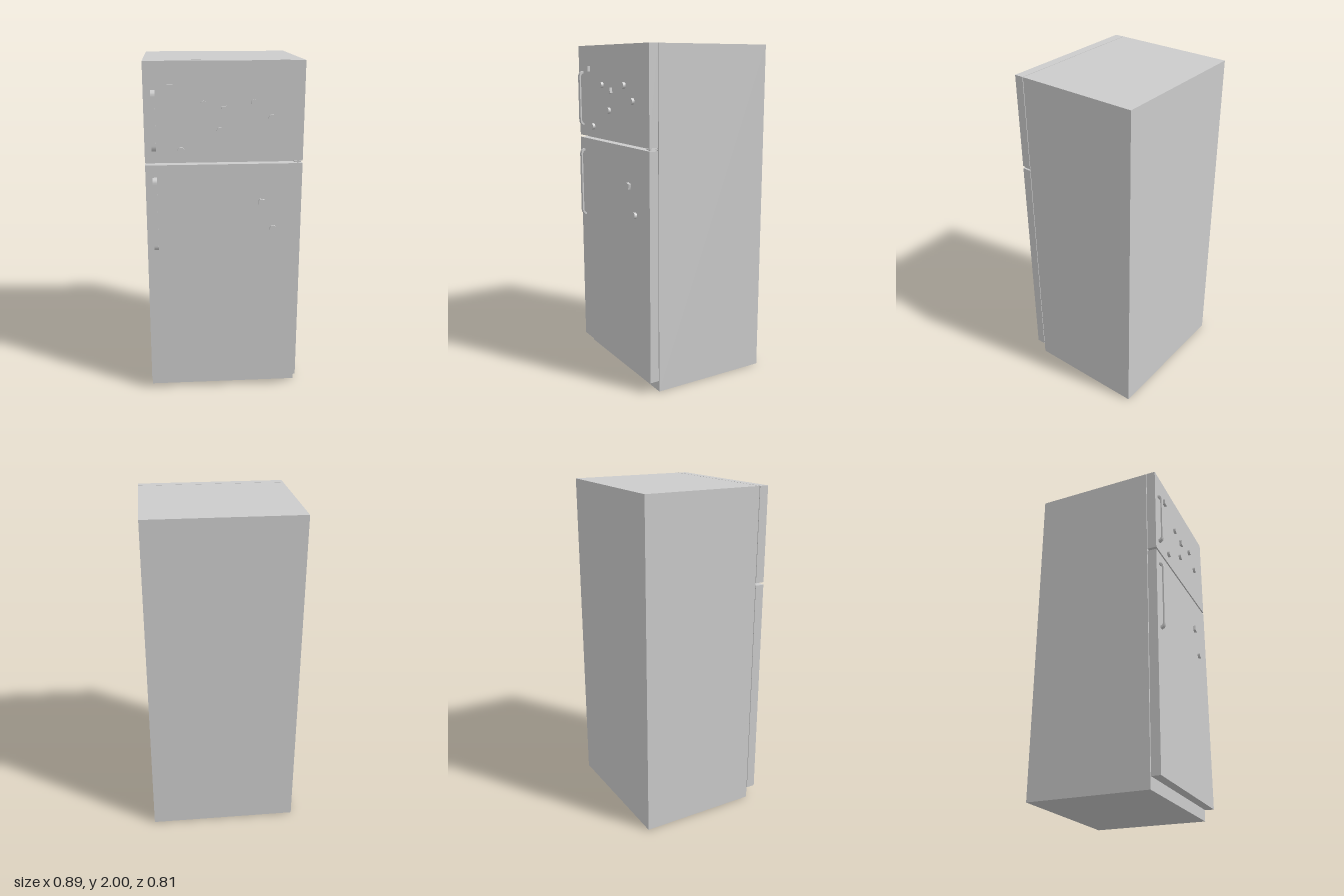
import * as THREE from 'three';

export function createModel() {
  const group = new THREE.Group();
  group.name = 'refrigerator';
  const grey = new THREE.MeshStandardMaterial({ color: 0xcccccc });

  const add = (name, geometry, x, y, z) => {
    const mesh = new THREE.Mesh(geometry, grey);
    mesh.name = name;
    mesh.position.set(x, y, z);
    group.add(mesh);
    return mesh;
  };
  // Box given by its limits in y and z, centred on x
  const slab = (name, width, y0, y1, z0, z1, x = 0) =>
    add(name, new THREE.BoxGeometry(width, y1 - y0, z1 - z0), x, (y0 + y1) / 2, (z0 + z1) / 2);

  const width = 0.894;
  const doorBack = 0.325;
  const doorFront = 0.38;

  // Cabinet and the two doors
  slab('cabinet', width, 0, 2, -0.407, 0.321);
  slab('freezerDoor', width, 1.441, 2, doorBack, doorFront);
  slab('fridgeDoor', width, 0.068, 1.426, doorBack, doorFront);

  // Hinge in the gap between the doors, on the side away from the handles
  slab('hingePlate', 0.04, 1.43, 1.436, 0.321, 0.372, 0.42);
  const pin = new THREE.CylinderGeometry(0.006, 0.006, 0.016, 12);
  add('hingePin', pin, 0.425, 1.4335, 0.362);

  // Bow handles: a side profile with swept ends, extruded across the bar
  const handle = (name, y0, y1) => {
    const depth = 0.026, t = 0.009, bar = 0.024;
    const s = new THREE.Shape();
    s.moveTo(0, y0);
    s.quadraticCurveTo(depth, y0 + 0.006, depth, y0 + 0.035);
    s.lineTo(depth, y1 - 0.035);
    s.quadraticCurveTo(depth, y1 - 0.006, 0, y1);
    s.lineTo(0, y1 - 0.013);
    s.quadraticCurveTo(depth - t, y1 - 0.018, depth - t, y1 - 0.04);
    s.lineTo(depth - t, y0 + 0.04);
    s.quadraticCurveTo(depth - t, y0 + 0.018, 0, y0 + 0.013);
    s.closePath();
    const geometry = new THREE.ExtrudeGeometry(s, { depth: bar, bevelEnabled: false, curveSegments: 8 });
    geometry.rotateY(-Math.PI / 2); // profile depth now points to +z
    add(name, geometry, -0.395 + bar / 2, 0, doorFront);
  };
  handle('freezerHandle', 1.505, 1.845);
  handle('fridgeHandle', 0.92, 1.355);

  // Round and square magnets stuck on the doors
  const thick = 0.016;
  const round = new THREE.CylinderGeometry(0.019, 0.019, thick, 20).rotateX(Math.PI / 2);
  const square = new THREE.BoxGeometry(0.033, 0.033, thick);
  const z = doorFront + thick / 2;
  for (const [x, y] of [[-0.115, 1.766], [0.165, 1.771], [0.265, 1.687],
    [-0.025, 1.619], [-0.244, 1.509], [0.284, 1.04]]) {
    add('roundMagnet', round, x, y, z);
  }
  for (const [x, y, turn] of [[-0.3, 1.859, 0], [-0.002, 1.738, 0.1], [0.214, 1.202, -0.2]]) {
    add('squareMagnet', square, x, y, z).rotation.z = turn;
  }

  return group;
}
